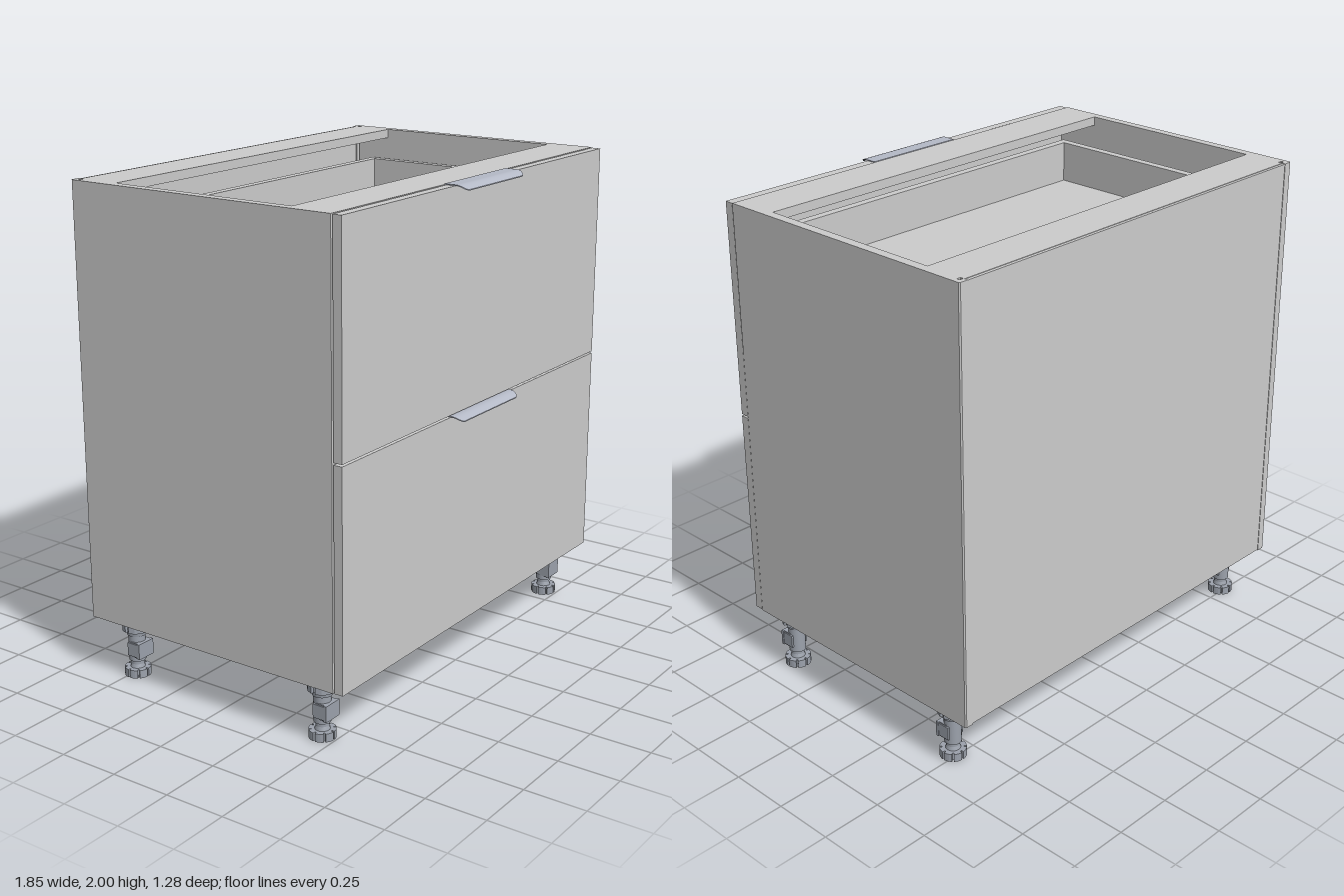
import * as THREE from 'three';

const board = new THREE.MeshStandardMaterial({ color: 0xcccccc });
const metal = new THREE.MeshStandardMaterial({ color: 0xb4b9c6, side: THREE.DoubleSide });
const plastic = new THREE.MeshStandardMaterial({ color: 0x9ca2ac });

function add(parent, name, geometry, material = board) {
  const mesh = new THREE.Mesh(geometry, material);
  mesh.name = name;
  parent.add(mesh);
  return mesh;
}

// Box given by its limits on each axis
function slab(parent, name, x0, x1, y0, y1, z0, z1, material = board) {
  const mesh = add(parent, name, new THREE.BoxGeometry(x1 - x0, y1 - y0, z1 - z0), material);
  mesh.position.set((x0 + x1) / 2, (y0 + y1) / 2, (z0 + z1) / 2);
  return mesh;
}

// Side panel: plan section with a back-panel groove, extruded upwards
function sidePanel(side) {
  const plan = [[0.887, 0.55], [0.925, 0.55], [0.925, -0.635], [0.92, -0.64], [0.887, -0.64],
    [0.887, -0.62], [0.905, -0.62], [0.905, -0.607], [0.887, -0.607]];
  const shape = new THREE.Shape(plan.map(([x, z]) => new THREE.Vector2(side * x, -z)));
  const g = new THREE.ExtrudeGeometry(shape, { depth: 1.757, bevelEnabled: false });
  return g.rotateX(-Math.PI / 2).translate(0, 0.24, 0);
}

// Open-topped drawer box
function drawer(name, y) {
  const g = new THREE.Group();
  g.name = name;
  for (const s of [-1, 1]) {
    const x = s * 0.8475;
    slab(g, 'drawerSide', x - 0.0175, x + 0.0175, y - 0.05, y + 0.17, -0.518, 0.518);
  }
  slab(g, 'drawerBack', -0.83, 0.83, y - 0.05, y + 0.17, -0.518, -0.483);
  slab(g, 'drawerInnerFront', -0.83, 0.83, y - 0.05, y + 0.17, 0.483, 0.518);
  slab(g, 'drawerFloor', -0.83, 0.83, y - 0.02, y, -0.483, 0.483);
  return g;
}

// Edge pull: a thin plate whose front lip curls down and has rounded ends
function handleGeometry() {
  const g = new THREE.BoxGeometry(0.44, 0.004, 0.09, 24, 1, 18);
  const p = g.attributes.position;
  for (let i = 0; i < p.count; i++) {
    const z = p.getZ(i) + 0.045;
    const lip = Math.max(0, (z - 0.05) / 0.04);
    const width = 1 - 0.12 * (1 - Math.sqrt(Math.max(0, 1 - lip * lip)));
    p.setXYZ(i, p.getX(i) * width, p.getY(i) - 0.002 - 0.017 * lip * lip, z);
  }
  g.computeVertexNormals();
  return g;
}

// Disc with radial notches around its rim
function notchedDisc(radius, inner, height, count) {
  const pts = [];
  for (let i = 0; i < count; i++) {
    for (const [t, r] of [[0.08, inner], [0.1, radius], [0.37, radius], [0.63, radius], [0.9, radius], [0.92, inner]]) {
      const a = ((i + t) / count) * Math.PI * 2;
      pts.push(new THREE.Vector2(Math.cos(a) * r, Math.sin(a) * r));
    }
  }
  const g = new THREE.ExtrudeGeometry(new THREE.Shape(pts), { depth: height, bevelEnabled: false });
  return g.rotateX(-Math.PI / 2);
}

// Adjustable leg with mounting socket, plinth clip and notched foot
function leg() {
  const g = new THREE.Group();
  add(g, 'foot', notchedDisc(0.053, 0.042, 0.034, 8), plastic);
  const cyl = (name, r0, r1, y0, y1) => {
    const geo = new THREE.CylinderGeometry(r1, r0, y1 - y0, 24);
    add(g, name, geo, plastic).position.y = (y0 + y1) / 2;
  };
  cyl('footNeck', 0.03, 0.025, 0.034, 0.05);
  cyl('legScrew', 0.027, 0.027, 0.05, 0.085);
  cyl('legTube', 0.034, 0.034, 0.065, 0.185);
  cyl('legCollar', 0.039, 0.042, 0.175, 0.195);
  add(g, 'mountSocket', notchedDisc(0.057, 0.046, 0.045, 4), plastic).position.y = 0.195;
  slab(g, 'clipBody', -0.042, 0.042, 0.085, 0.15, 0.036, 0.048, plastic);
  for (const y of [0.085, 0.138])
    slab(g, 'clipArm', -0.036, 0.036, y, y + 0.012, 0, 0.04, plastic);
  for (const x of [-0.04, 0.032])
    slab(g, 'clipCheek', x, x + 0.008, 0.09, 0.145, -0.015, 0.038, plastic);
  return g;
}

export function createModel() {
  const model = new THREE.Group();
  model.name = 'drawerBaseCabinet';

  // Carcass
  for (const s of [-1, 1]) add(model, s > 0 ? 'leftSide' : 'rightSide', sidePanel(s));
  slab(model, 'bottomPanel', -0.887, 0.887, 0.24, 0.277, -0.607, 0.55);
  slab(model, 'backPanel', -0.887, 0.887, 0.243, 1.995, -0.638, -0.625);
  slab(model, 'rearTopRail', -0.887, 0.887, 1.96, 1.997, -0.625, -0.45);
  slab(model, 'frontTopRail', -0.887, 0.887, 1.96, 1.997, 0.36, 0.55);

  // Drawers, their fronts and handles
  const tiers = [['lower', 0.24, 1.115, 0.82], ['upper', 1.123, 1.995, 1.7]];
  for (const [tier, bottom, top, floor] of tiers) {
    model.add(drawer(tier + 'Drawer', floor));
    slab(model, tier + 'DrawerFront', -0.922, 0.922, bottom, top, 0.555, 0.592);
    add(model, tier + 'Handle', handleGeometry(), metal).position.set(0, top + 0.005, 0.549);
  }

  // Legs
  for (const x of [-0.84, 0.84]) {
    for (const z of [-0.482, 0.44]) {
      const l = leg();
      l.name = (z > 0 ? 'front' : 'rear') + (x > 0 ? 'Left' : 'Right') + 'Leg';
      l.position.set(x, 0, z);
      model.add(l);
    }
  }
  return model;
}
